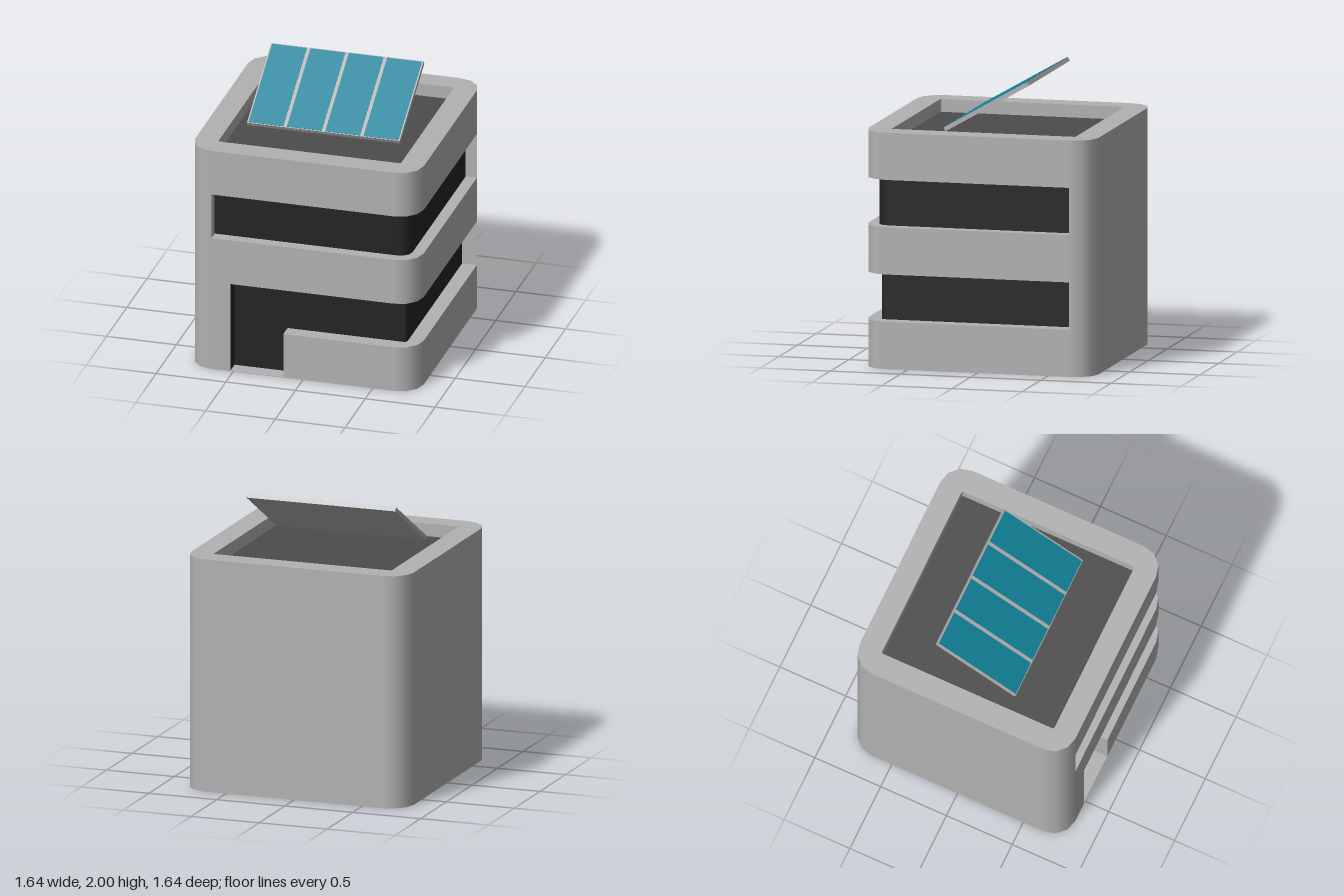
import * as THREE from 'three';
import { mergeGeometries } from 'three/addons/utils/BufferGeometryUtils.js';

const HALF = 0.82, CORE = 0.655, ROOF = 1.56, TOP = 1.65;
const LEVELS = [0, 0.33, 0.66, 0.99, 1.32, TOP];
const DOOR = { left: -0.52, right: -0.14 };
const LOW_GLASS = 0.715, HIGH_GLASS = 0.74;

const mat = (name, color) => new THREE.MeshStandardMaterial({ name, color });

// Plan point with its outward normal
const pt = (x, z, nx, nz) => ({ x, z, nx, nz });

// Rounded plan corner around (cx, cz), turning 90 degrees from startDeg
function corner(cx, cz, r, startDeg) {
  return [0, 30, 60, 90].map((d) => {
    const a = THREE.MathUtils.degToRad(startDeg - d);
    const nx = Math.cos(a), nz = Math.sin(a);
    return pt(cx + r * nx, cz + r * nz, nx, nz);
  });
}

// Rounded square plan; extra points may be put on the front side
function plan(half, r, front = []) {
  const c = half - r;
  return [...corner(-c, c, r, 180), ...front, ...corner(c, c, r, 90),
    ...corner(c, -c, r, 0), ...corner(-c, -c, r, -90)];
}

const close = (path) => [...path, path[0]];
const inward = (path) => [...path].reverse().map((p) => pt(p.x, p.z, -p.nx, -p.nz));

// Upright surface following a plan path
function strip(path, y0, y1) {
  const pos = [], nor = [], idx = [];
  path.forEach((p, i) => {
    pos.push(p.x, y0, p.z, p.x, y1, p.z);
    nor.push(p.nx, 0, p.nz, p.nx, 0, p.nz);
    if (i > 0) {
      const a = 2 * i - 2;
      idx.push(a, a + 2, a + 3, a, a + 3, a + 1);
    }
  });
  const g = new THREE.BufferGeometry();
  g.setAttribute('position', new THREE.Float32BufferAttribute(pos, 3));
  g.setAttribute('normal', new THREE.Float32BufferAttribute(nor, 3));
  g.setIndex(idx);
  return g;
}

// Flat upright face between two plan points
function face(x0, z0, x1, z1, y0, y1) {
  const len = Math.hypot(x1 - x0, z1 - z0);
  const nx = -(z1 - z0) / len, nz = (x1 - x0) / len;
  return strip([pt(x0, z0, nx, nz), pt(x1, z1, nx, nz)], y0, y1);
}

// Level surface filling a plan, facing up or down
function level(path, y, up, hole) {
  const s = up ? -1 : 1;
  const flat = (p) => p.map((q) => new THREE.Vector2(q.x, s * q.z));
  const shape = new THREE.Shape(flat(path));
  if (hole) shape.holes.push(new THREE.Path(flat(hole)));
  const g = new THREE.ShapeGeometry(shape);
  g.deleteAttribute('uv');
  return g.rotateX(s * Math.PI / 2).translate(0, y, 0);
}

export function createModel() {
  const model = new THREE.Group();
  model.name = 'building';
  const wall = mat('wall grey', 0xb2b2b2);
  const glass = mat('dark glass', 0x242424);
  const roof = mat('roof grey', 0x4c4c4c);
  const cell = mat('solar teal', 0x108299);

  const add = (name, geometry, material, parent = model) => {
    const mesh = new THREE.Mesh(geometry, material);
    mesh.name = name;
    parent.add(mesh);
    return mesh;
  };

  // Outer plan, with the door edges as points 4 and 5 on the front
  const outer = plan(HALF, HALF - CORE, [
    pt(DOOR.left, HALF, 0, 1), pt(DOOR.right, HALF, 0, 1)]);
  const around = (from, to) => [...outer.slice(from), ...outer.slice(0, to + 1)];
  const notched = [...around(5, 4), pt(DOOR.left, LOW_GLASS), pt(DOOR.right, LOW_GLASS)];
  const inner = plan(CORE, 0.012);

  // Outer walls, floor by floor, leaving out the door and window bands
  const [y0, y1, y2, y3, y4, y5] = LEVELS;
  add('walls', mergeGeometries([
    strip(around(5, 4), y0, y1),
    strip(around(10, 4), y1, y2),
    strip(close(outer), y2, y3),
    strip(around(10, 3), y3, y4),
    strip(close(outer), y4, y5),
    level(outer, 0, false),
  ]), wall);

  // Sills, soffits and end reveals of the openings
  add('windowReveals', mergeGeometries([
    level(notched, y1, true),
    level(outer, y2, false),
    level(outer, y3, true),
    level(outer, y4, false),
    face(-CORE, HALF, -CORE, HIGH_GLASS, y3, y4),
    face(HIGH_GLASS, -CORE, HALF, -CORE, y3, y4),
    face(LOW_GLASS, -CORE, HALF, -CORE, y1, y2),
    face(DOOR.right, LOW_GLASS, DOOR.right, HALF, y0, y1),
  ]), wall);
  add('doorStep', new THREE.BoxGeometry(DOOR.right - DOOR.left, 0.004, HALF - LOW_GLASS)
    .translate((DOOR.left + DOOR.right) / 2, 0.002, (HALF + LOW_GLASS) / 2), wall);

  // Set-back glazing that turns the front left corner
  const glazing = (plane, r, startX) => [
    pt(startX, plane, 0, 1), ...corner(plane - r, plane - r, r, 90), pt(plane, -CORE, 1, 0)];
  add('upperWindow', strip(glazing(HIGH_GLASS, HIGH_GLASS - CORE, -CORE), y3, y4), glass);
  add('lowerWindow', strip(glazing(LOW_GLASS, 0.025, DOOR.left), y1, y2), glass);
  add('door', mergeGeometries([
    face(DOOR.left, LOW_GLASS, DOOR.right, LOW_GLASS, y0, y1),
    face(DOOR.left, HALF, DOOR.left, LOW_GLASS, y0, y2),
  ]), glass);

  // Parapet around the sunken roof
  add('parapet', mergeGeometries([
    level(outer, TOP, true, inner),
    strip(close(inward(inner)), ROOF, TOP),
  ]), wall);
  add('roofDeck', level(inner, ROOF, true), roof);

  // Tilted solar panel with four cells
  const panel = new THREE.Group();
  panel.name = 'solarPanel';
  panel.position.set(0, 1.815, 0.01);
  panel.rotation.x = Math.PI / 6;
  add('panelFrame', new THREE.BoxGeometry(1.095, 0.03, 0.687), wall, panel);
  for (let i = 0; i < 4; i++) {
    const c = add('solarCell', new THREE.BoxGeometry(0.249, 0.004, 0.674), cell, panel);
    c.position.set((i - 1.5) * 0.275, 0.015, 0);
  }
  model.add(panel);
  return model;
}
